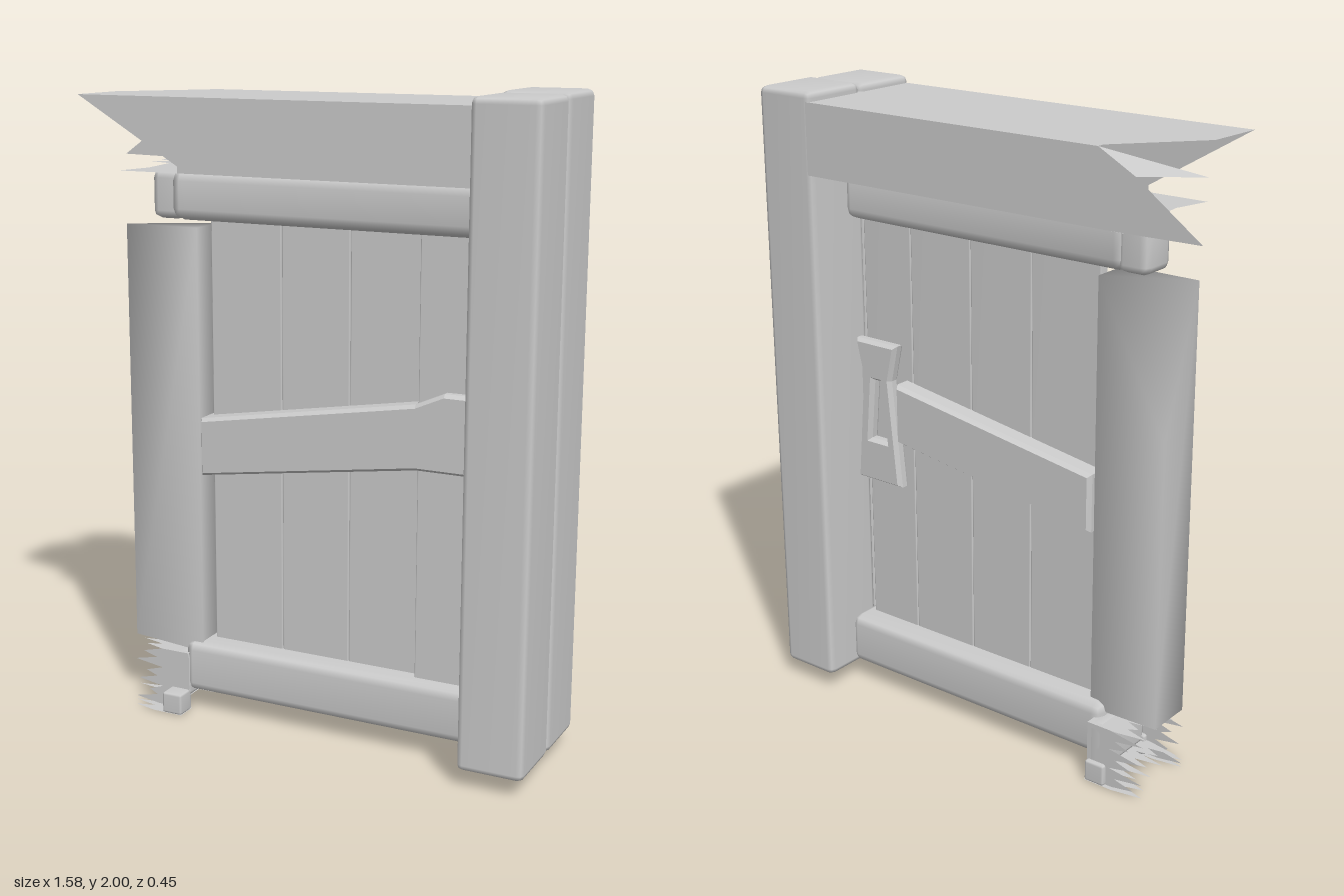
import * as THREE from 'three';
import { RoundedBoxGeometry } from 'three/addons/geometries/RoundedBoxGeometry.js';
import { mergeVertices } from 'three/addons/utils/BufferGeometryUtils.js';

const timber = new THREE.MeshStandardMaterial({ color: 0xcccccc, side: THREE.DoubleSide });

function add(group, name, geometry) {
  const mesh = new THREE.Mesh(geometry, timber);
  mesh.name = name;
  group.add(mesh);
  return mesh;
}

// Share corners so that light rolls softly over the worn edges
function soften(geometry) {
  geometry.deleteAttribute('normal');
  geometry.deleteAttribute('uv');
  const g = mergeVertices(geometry);
  g.computeVertexNormals();
  return g;
}

// Worn block between two corners
function block(group, name, [x0, x1], [y0, y1], [z0, z1], r = 0.02) {
  const g = soften(new RoundedBoxGeometry(x1 - x0, y1 - y0, z1 - z0, 1, r));
  g.translate((x0 + x1) / 2, (y0 + y1) / 2, (z0 + z1) / 2);
  return add(group, name, g);
}

const outline = (pts) => new THREE.Shape(pts.map(([a, b]) => new THREE.Vector2(a, b)));

// Upright sheet at depth z
function upright(group, name, pts, z) {
  add(group, name, new THREE.ShapeGeometry(outline(pts))).position.z = z;
}

// Level sheet at height y, outline given as x, z
function level(group, name, pts, y) {
  const g = new THREE.ShapeGeometry(outline(pts.map(([x, z]) => [x, -z])));
  g.rotateX(-Math.PI / 2);
  add(group, name, g).position.y = y;
}

// Solid plate cut from an outline, starting at depth z
function plate(group, name, shape, z, depth) {
  const g = new THREE.ExtrudeGeometry(shape, {
    depth, bevelThickness: 0.015, bevelSize: 0.01, bevelSegments: 1,
  });
  add(group, name, g).position.z = z;
}

// Sheet outline from a straight edge at x = right to a jagged left edge
function jagged(right, lo, hi, tips, valley) {
  const pts = [[right, lo]];
  const step = (hi - lo) / tips.length;
  tips.forEach((tip, i) => {
    pts.push([valley - 0.02 * (i % 2), lo + step * i], [tip, lo + step * (i + 0.45)]);
  });
  pts.push([valley, hi], [right, hi]);
  return pts;
}

export function createModel() {
  const model = new THREE.Group();
  model.name = 'brokenDoorFrame';

  // Twin posts on the intact side
  block(model, 'frontPost', [0.583, 0.79], [0.055, 1.995], [0, 0.227], 0.02);
  block(model, 'backPost', [0.583, 0.79], [0.055, 2.0], [-0.227, 0], 0.02);

  // Hollow top beam with a splintered end
  const beam = new THREE.Group();
  beam.name = 'topBeam';
  model.add(beam);
  upright(beam, 'beamFront', [[0.6, 1.75], [0.6, 1.97], [-0.67, 1.97], [-0.33, 1.77], [-0.33, 1.75]], 0.218);
  upright(beam, 'beamBack',
    [[0.6, 1.75], [0.6, 1.97], [-0.46, 1.97], [-0.58, 1.905], [-0.79, 1.755], [-0.5, 1.75]], -0.225);
  level(beam, 'beamTop',
    [[0.6, 0.218], [-0.67, 0.218], [-0.66, 0.03], [-0.46, -0.2], [-0.46, -0.225], [0.6, -0.225]], 1.97);
  level(beam, 'beamBottom',
    [[0.6, 0.218], [-0.53, 0.218], [-0.5, 0.1], [-0.52, -0.05], [-0.6, -0.08], [-0.54, -0.11],
      [-0.61, -0.15], [-0.55, -0.225], [0.6, -0.225]], 1.75);
  const splinter = new THREE.BufferGeometry().setFromPoints([
    new THREE.Vector3(-0.46, 1.97, -0.225),
    new THREE.Vector3(-0.58, 1.905, -0.225),
    new THREE.Vector3(-0.64, 1.865, 0.04),
  ]);
  splinter.computeVertexNormals();
  add(beam, 'beamSplinter', splinter);

  // Lintel and bottom rail
  block(model, 'lintel', [-0.45, 0.6], [1.59, 1.745], [-0.08, 0.07], 0.035);
  block(model, 'lintelEnd', [-0.525, -0.42], [1.59, 1.74], [-0.075, 0.05], 0.025);
  block(model, 'bottomRail', [-0.42, 0.6], [0.065, 0.235], [-0.11, 0.08], 0.03);

  // Leaning middle rail, thinner behind the handle
  plate(model, 'middleRailFront', outline([[-0.35, 0.8], [0.37, 0.905], [0.59, 0.905], [0.59, 1.125],
    [0.46, 1.125], [0.37, 1.085], [-0.35, 0.965]]), -0.015, 0.065);
  plate(model, 'middleRailBack', outline([[-0.35, 0.8], [0.38, 0.905], [0.38, 1.08], [-0.35, 0.965]]),
    -0.08, 0.055);

  // Door planks
  const edges = [-0.345, -0.1, 0.13, 0.365, 0.557];
  for (let i = 0; i < 4; i++) {
    const z = i < 3 ? 0.002 : 0.03;
    block(model, 'plank', [edges[i] + 0.001, edges[i + 1] - 0.001], [0.2, 1.63], [-0.033, z], 0.004);
  }

  // Broken post: its back outer corner is split away
  const post = new THREE.BoxGeometry(0.25, 1.36, 0.15);
  post.translate(-0.485, 0.89, -0.015);
  const p = post.attributes.position;
  for (let i = 0; i < p.count; i++) {
    const outer = p.getX(i) < -0.5;
    const top = p.getY(i) > 1;
    const rear = p.getZ(i) < 0;
    if (top && outer && rear) p.setY(i, 1.13);
    if (!top) p.setY(i, outer ? 0.22 : 0.2);
    if (rear && !outer) p.setZ(i, -0.068);
  }
  add(model, 'brokenPost', soften(post));

  // Splintered stump under the broken post
  const stump = new THREE.Group();
  stump.name = 'stump';
  model.add(stump);
  const tips = [-0.6, -0.55, -0.59, -0.56, -0.6, -0.57];
  const back = [...tips].reverse();
  upright(stump, 'stumpFront', jagged(-0.4, 0, 0.195, tips, -0.5), 0.085);
  upright(stump, 'stumpBack', jagged(-0.4, 0, 0.195, back, -0.48), -0.14);
  level(stump, 'stumpTop', jagged(-0.4, -0.14, 0.085, tips, -0.5), 0.195);
  level(stump, 'stumpBottom', jagged(-0.4, -0.14, 0.085, back, -0.48), 0.05);
  block(stump, 'stumpCore', [-0.46, -0.4], [0.045, 0.195], [-0.14, 0.085], 0.015);
  for (const [z0, z1] of [[0.07, 0.14], [-0.155, -0.075]]) {
    level(stump, 'footSole', jagged(-0.4, z0, z1, [-0.6, -0.58], -0.5), 0.002);
    block(stump, 'foot', [-0.47, -0.4], [0, 0.07], [z0, z1], 0.008);
  }

  // Pull handle on the back
  const handle = outline([[0.4, 0.745], [0.56, 0.745], [0.53, 1.09], [0.555, 1.2], [0.41, 1.2], [0.435, 1.09]]);
  handle.holes.push(outline([[0.435, 0.87], [0.46, 1.09], [0.505, 1.09], [0.525, 0.87]]));
  plate(model, 'handle', handle, -0.065, 0.02);

  return model;
}
